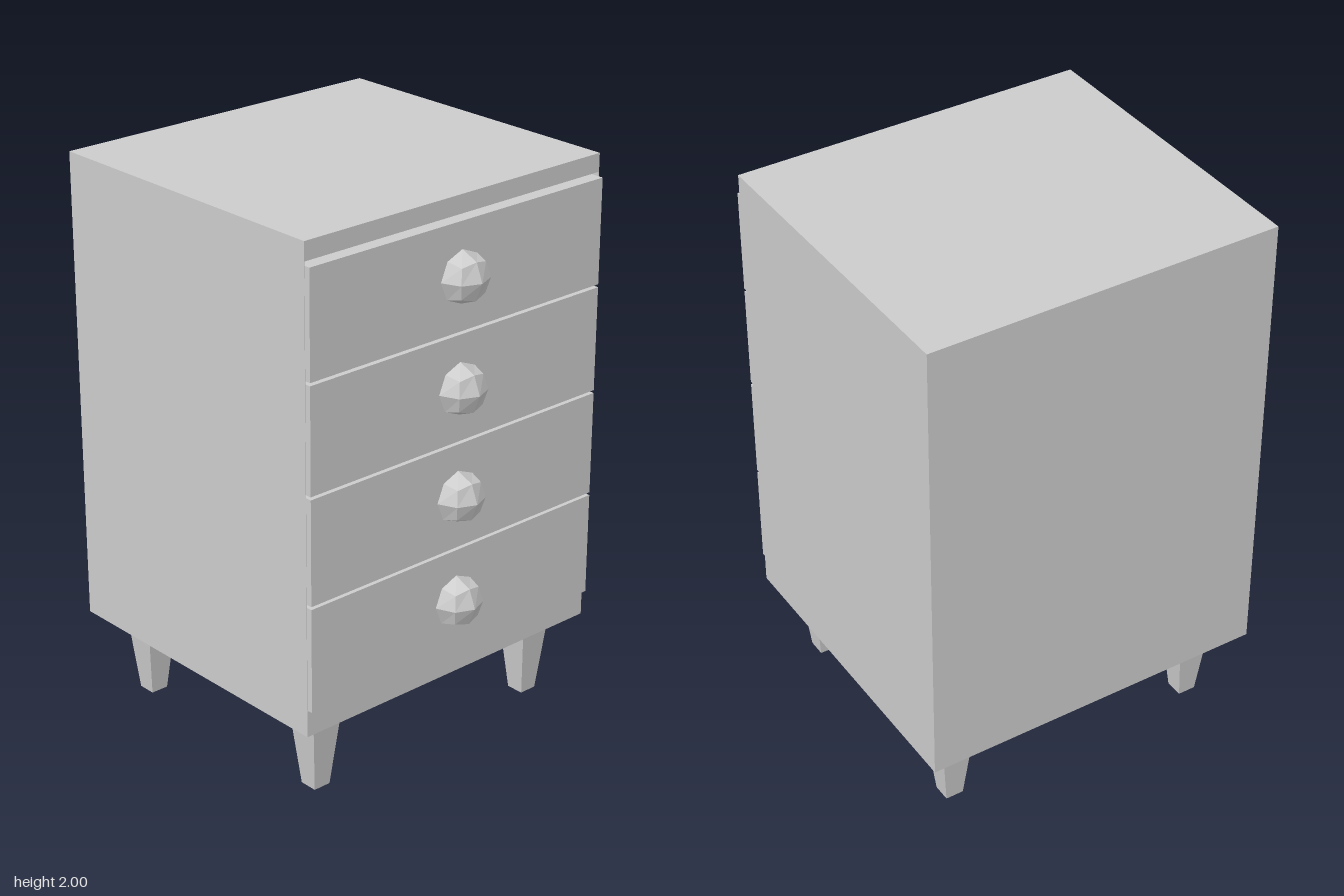
import * as THREE from 'three';

const material = new THREE.MeshStandardMaterial({ color: 0xcccccc, flatShading: true });

function add(parent, name, geometry, x = 0, y = 0, z = 0) {
  const mesh = new THREE.Mesh(geometry, material);
  mesh.name = name;
  mesh.position.set(x, y, z);
  parent.add(mesh);
  return mesh;
}

// Open-fronted carcass: a rectangular frame with thin sides, run from back to front
function carcassGeometry(half, bottom, top, depth) {
  const shape = new THREE.Shape([
    new THREE.Vector2(-half, bottom), new THREE.Vector2(half, bottom),
    new THREE.Vector2(half, top), new THREE.Vector2(-half, top),
  ]);
  const inner = half - 0.0015;
  shape.holes.push(new THREE.Path([
    new THREE.Vector2(-inner, 0.39), new THREE.Vector2(-inner, 1.935),
    new THREE.Vector2(inner, 1.935), new THREE.Vector2(inner, 0.39),
  ]));
  return new THREE.ExtrudeGeometry(shape, { depth, bevelEnabled: false });
}

// Faceted knob: a subdivided cube pushed out to a sphere
function knobGeometry(radius) {
  const geometry = new THREE.BoxGeometry(1, 1, 1, 2, 2, 2);
  const p = geometry.attributes.position;
  const v = new THREE.Vector3();
  for (let i = 0; i < p.count; i++) {
    v.fromBufferAttribute(p, i).setLength(radius);
    p.setXYZ(i, v.x, v.y, v.z);
  }
  geometry.computeVertexNormals();
  return geometry;
}

// Square leg that narrows towards the floor
function legGeometry(topWidth, bottomWidth, height) {
  const geometry = new THREE.BoxGeometry(topWidth, height, topWidth);
  const p = geometry.attributes.position;
  const k = bottomWidth / topWidth;
  for (let i = 0; i < p.count; i++) {
    if (p.getY(i) < 0) p.setXYZ(i, p.getX(i) * k, p.getY(i), p.getZ(i) * k);
  }
  geometry.computeVertexNormals();
  return geometry;
}

export function createModel() {
  const model = new THREE.Group();
  model.name = 'chestOfDrawers';

  // Carcass and back panel
  const half = 0.643, front = 0.532, back = -0.643;
  add(model, 'carcass', carcassGeometry(half, 0.295, 2, front - back), 0, 0, back);
  add(model, 'backPanel', new THREE.BoxGeometry(2 * half - 0.003, 1.545, 0.02), 0, 1.1625, back + 0.01);

  // Four drawers, slightly proud of the carcass, each with a knob
  const drawerFront = 0.552, drawerBack = -0.62, height = 0.374, pitch = 0.3845;
  const drawerBox = new THREE.BoxGeometry(1.28, height, drawerFront - drawerBack);
  const knob = knobGeometry(0.092);
  for (let i = 0; i < 4; i++) {
    const drawer = new THREE.Group();
    drawer.name = `drawer${i + 1}`;
    drawer.position.y = 0.393 + height / 2 + i * pitch;
    add(drawer, 'drawerBox', drawerBox, 0, 0, (drawerFront + drawerBack) / 2);
    add(drawer, 'knob', knob, 0, 0, drawerFront);
    model.add(drawer);
  }

  // Tapered legs
  const leg = legGeometry(0.126, 0.066, 0.295);
  for (const [side, x] of [['Left', 0.491], ['Right', -0.491]]) {
    add(model, `front${side}Leg`, leg, x, 0.1475, 0.397);
    add(model, `back${side}Leg`, leg, x, 0.1475, -0.483);
  }
  return model;
}
